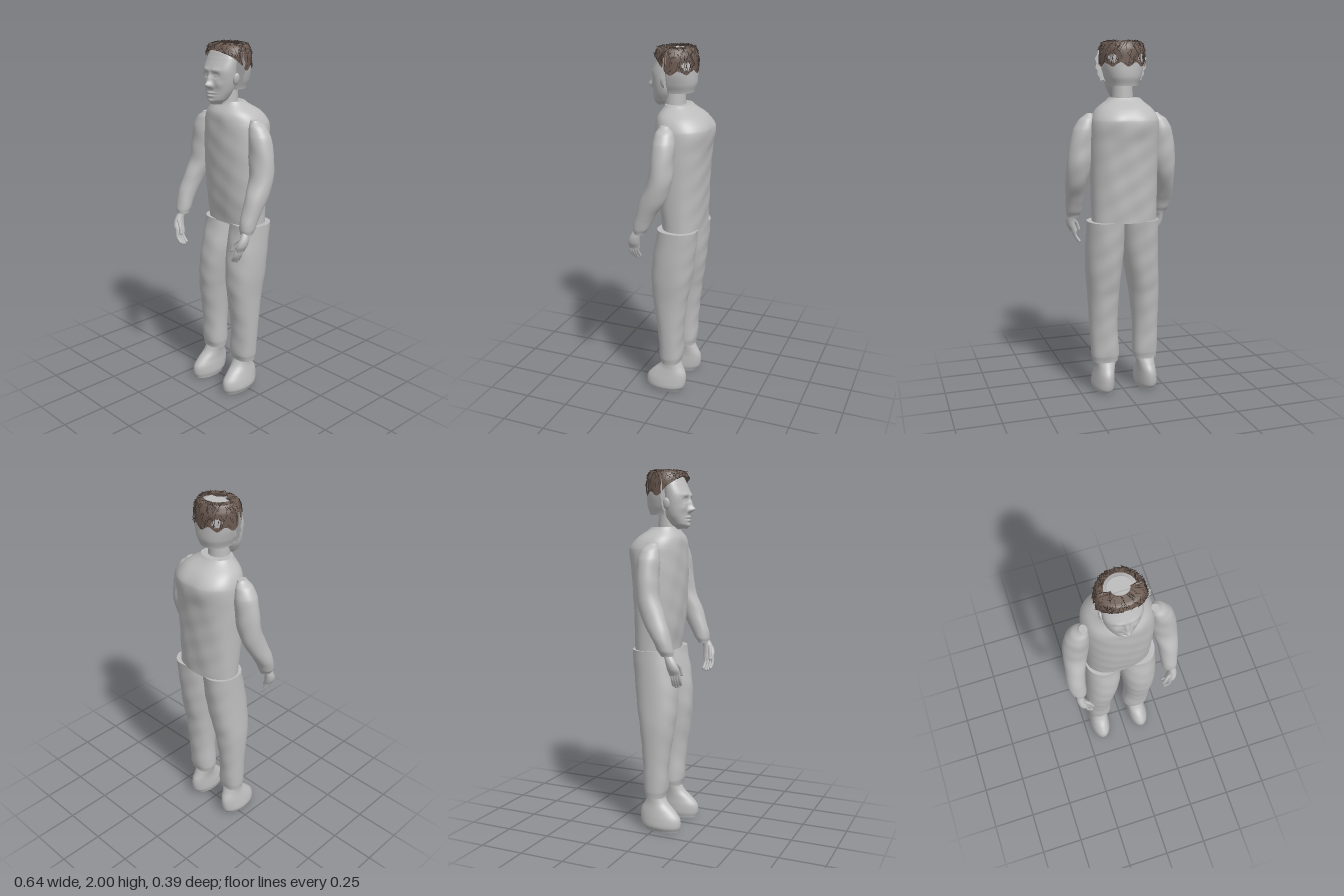
import * as THREE from 'three';
import { mergeGeometries } from 'three/addons/utils/BufferGeometryUtils.js';

const mat = (name, color, side = THREE.FrontSide) => {
  const m = new THREE.MeshStandardMaterial({ color, side });
  m.name = name;
  return m;
};
const TAU = Math.PI * 2;

// Smooth loft through key sections [y, xMin, xMax, zMin, zMax], listed from bottom to top.
function loft(keys, { rings = 32, seg = 40, power = 2, shape = null } = {}) {
  const sample = (t) => {
    const u = t * (keys.length - 1), i = Math.min(Math.floor(u), keys.length - 2), f = u - i;
    const k = (n) => keys[Math.max(0, Math.min(keys.length - 1, n))];
    return keys[0].map((_, c) => {
      const a = k(i)[c], b = k(i + 1)[c];
      if (c === 0) return a + (b - a) * f;
      const m0 = (b - k(i - 1)[c]) / 2, m1 = (k(i + 2)[c] - a) / 2;
      const f2 = f * f, f3 = f2 * f;
      return a * (2 * f3 - 3 * f2 + 1) + m0 * (f3 - 2 * f2 + f) + b * (3 * f2 - 2 * f3) + m1 * (f3 - f2);
    });
  };
  const pos = [], index = [];
  const bend = (v) => Math.sign(v) * Math.abs(v) ** (2 / power);
  for (let i = 0; i <= rings; i++) {
    const [y, x0, x1, z0, z1] = sample(i / rings);
    for (let j = 0; j < seg; j++) {
      const a = (j / seg) * TAU;
      const p = new THREE.Vector3((x0 + x1) / 2 + ((x1 - x0) / 2) * bend(Math.cos(a)), y,
        (z0 + z1) / 2 + ((z1 - z0) / 2) * bend(Math.sin(a)));
      if (shape) shape(p, Math.sin(a));
      pos.push(p.x, p.y, p.z);
    }
  }
  for (let i = 0; i < rings; i++) for (let j = 0; j < seg; j++) {
    const a = i * seg + j, b = i * seg + ((j + 1) % seg);
    index.push(a, a + seg, b, b, a + seg, b + seg);
  }
  // Separate cap vertices keep the rims sharp.
  for (const top of [false, true]) {
    const from = top ? rings * seg : 0, base = pos.length / 3, mid = sample(top ? 1 : 0);
    for (let j = 0; j < seg * 3; j++) pos.push(pos[from * 3 + j]);
    pos.push((mid[1] + mid[2]) / 2, mid[0], (mid[3] + mid[4]) / 2);
    for (let j = 0; j < seg; j++) {
      const a = base + j, b = base + ((j + 1) % seg);
      index.push(base + seg, ...(top ? [b, a] : [a, b]));
    }
  }
  const g = new THREE.BufferGeometry();
  g.setAttribute('position', new THREE.Float32BufferAttribute(pos, 3));
  g.setIndex(index);
  g.computeVertexNormals();
  return g;
}

// Soft dents in the cloth
const cloth = (p, s) => {
  p.z += 0.003 * Math.sin(p.x * 38 + p.y * 17) * Math.sin(p.y * 31 - p.x * 9) * s;
};

// Facial relief: nose, eye sockets, brow, lips and chin
const bump = (x, y, sx, sy) => Math.exp(-((x / sx) ** 2) - (y / sy) ** 2);
const faceRelief = (p, s) => {
  if (s <= 0) return;
  const x = p.x + 0.006, ax = Math.abs(x), y = p.y;
  p.z += s * (0.032 * bump(x, y - 1.785, 0.017, 0.016) + 0.018 * bump(x, y - 1.815, 0.011, 0.024)
    + 0.008 * bump(ax - 0.016, y - 1.778, 0.009, 0.01)
    - 0.014 * bump(ax - 0.036, y - 1.835, 0.02, 0.013) + 0.008 * bump(ax - 0.036, y - 1.834, 0.012, 0.007)
    + 0.006 * bump(ax - 0.035, y - 1.862, 0.03, 0.01)
    + 0.009 * bump(x, y - 1.742, 0.026, 0.006) + 0.009 * bump(x, y - 1.726, 0.022, 0.006)
    - 0.005 * bump(x, y - 1.734, 0.03, 0.003) + 0.008 * bump(x, y - 1.697, 0.022, 0.012)
    + 0.006 * bump(ax - 0.055, y - 1.79, 0.02, 0.02));
};

// Point on the hair surface: angle a (front is 0..PI), s from lower edge to inner rim
function hairPoint(a, s, lift = 0) {
  const sn = Math.sin(a), front = sn > 0;
  const low = front ? 1.865 + 0.095 * sn ** 0.8 : 1.868 + 0.012 * Math.sin(a * 9);
  const inner = front ? 0.36 : 0.62;
  const rim = [[1, low], [0.99, Math.max(low, 1.945)], [0.86, 1.985], [inner, 1.994]];
  const u = Math.min(2.999, s * 3), i = Math.floor(u), f = u - i;
  const r = rim[i][0] + (rim[i + 1][0] - rim[i][0]) * f + lift;
  const y = rim[i][1] + (rim[i + 1][1] - rim[i][1]) * f;
  return new THREE.Vector3(0.126 * r * Math.cos(a), Math.min(1.998, y + lift * 0.06),
    0.02 + (front ? 0.1 : 0.126) * r * sn);
}

function hairPatch(from) {
  const nu = 40, nv = 9, pos = [], index = [];
  for (let i = 0; i <= nu; i++) for (let j = 0; j <= nv; j++) {
    pos.push(...hairPoint(from + (0.001 + 0.998 * i / nu) * Math.PI, j / nv).toArray());
  }
  for (let i = 0; i < nu; i++) for (let j = 0; j < nv; j++) {
    const a = i * (nv + 1) + j, b = a + nv + 1;
    index.push(a, a + 1, b, b, a + 1, b + 1);
  }
  const g = new THREE.BufferGeometry();
  g.setAttribute('position', new THREE.Float32BufferAttribute(pos, 3));
  g.setIndex(index);
  g.computeVertexNormals();
  return g;
}

// Tapered rod between two points
function rod(a, b, r0, r1, sides) {
  const d = b.clone().sub(a);
  const g = new THREE.CylinderGeometry(r1, r0, d.length(), sides);
  g.applyQuaternion(new THREE.Quaternion().setFromUnitVectors(new THREE.Vector3(0, 1, 0), d.clone().normalize()));
  return g.translate((a.x + b.x) / 2, (a.y + b.y) / 2, (a.z + b.z) / 2);
}

export function createModel() {
  const model = new THREE.Group();
  model.name = 'standingMan';
  const grey = mat('plain grey', 0xbcbcbc);
  const greyThin = mat('thin grey', 0xbcbcbc, THREE.DoubleSide);
  const brown = mat('hair brown', 0x6a5950, THREE.DoubleSide);
  const dark = mat('strand brown', 0x3a302b);
  const add = (name, geometry, material = grey, parent = model) => {
    const m = new THREE.Mesh(geometry, material);
    m.name = name;
    parent.add(m);
    return m;
  };

  add('torso', loft([
    [1.015, -0.178, 0.19, -0.158, 0.065], [1.15, -0.18, 0.192, -0.165, 0.085],
    [1.3, -0.182, 0.195, -0.172, 0.098], [1.45, -0.185, 0.198, -0.182, 0.105],
    [1.57, -0.182, 0.19, -0.196, 0.105], [1.63, -0.155, 0.157, -0.155, 0.1],
    [1.69, -0.095, 0.082, -0.072, 0.07]], { rings: 48, seg: 56, power: 2.3, shape: cloth }));

  // Trouser legs
  add('rightLeg', loft([
    [0.19, -0.2, -0.068, -0.06, 0.055], [0.23, -0.205, -0.062, -0.068, 0.065],
    [0.4, -0.207, -0.06, -0.076, 0.072], [0.6, -0.21, -0.04, -0.1, 0.1],
    [0.72, -0.202, -0.016, -0.122, 0.108], [0.85, -0.194, 0.006, -0.138, 0.098],
    [1.02, -0.188, 0.01, -0.155, 0.068]], { rings: 44, power: 2.2, shape: cloth }));
  add('leftLeg', loft([
    [0.19, 0.034, 0.18, -0.06, 0.055], [0.23, 0.026, 0.188, -0.068, 0.065],
    [0.4, 0.036, 0.198, -0.076, 0.072], [0.6, 0.028, 0.206, -0.1, 0.1],
    [0.72, 0.018, 0.217, -0.122, 0.108], [0.85, 0.008, 0.221, -0.138, 0.098],
    [1.02, 0.01, 0.218, -0.155, 0.068]], { rings: 44, power: 2.2, shape: cloth }));

  // Shoes: one shape, mirrored
  for (const [name, side, cx] of [['rightShoe', -1, -0.147], ['leftShoe', 1, 0.11]]) {
    const keys = [[0, 0.05, 0.05, -0.06, 0.14], [0.03, 0.058, 0.064, -0.082, 0.152],
      [0.075, 0.058, 0.06, -0.09, 0.148], [0.115, 0.056, 0.052, -0.086, 0.115],
      [0.155, 0.06, 0.045, -0.065, 0.07], [0.2, 0.07, 0.045, -0.045, 0.045]];
    add(name, loft(keys.map(([y, i, o, a, b]) =>
      [y, ...(side < 0 ? [cx - o, cx + i] : [cx - i, cx + o]), a, b])));
  }

  // Sleeves
  add('rightArm', loft([
    [1.02, -0.298, -0.232, 0.09, 0.155], [1.05, -0.314, -0.226, 0.07, 0.158], [1.12, -0.324, -0.222, 0.035, 0.142],
    [1.22, -0.315, -0.205, -0.025, 0.108], [1.32, -0.309, -0.176, -0.057, 0.066],
    [1.42, -0.302, -0.16, -0.064, 0.056], [1.52, -0.282, -0.155, -0.064, 0.055],
    [1.575, -0.25, -0.158, -0.05, 0.045], [1.607, -0.205, -0.165, -0.022, 0.025]], { rings: 44, shape: cloth }));
  add('leftArm', loft([
    [1.02, 0.222, 0.29, 0.09, 0.155], [1.05, 0.212, 0.298, 0.07, 0.16], [1.12, 0.208, 0.305, 0.035, 0.145],
    [1.22, 0.2, 0.317, -0.025, 0.112], [1.32, 0.178, 0.318, -0.057, 0.07],
    [1.42, 0.163, 0.308, -0.064, 0.06], [1.52, 0.165, 0.284, -0.064, 0.055],
    [1.575, 0.163, 0.25, -0.05, 0.045], [1.607, 0.168, 0.21, -0.022, 0.025]], { rings: 44, shape: cloth }));

  // Hands with curled fingers
  for (const side of [-1, 1]) {
    const hand = new THREE.Group();
    hand.name = side < 0 ? 'rightHand' : 'leftHand';
    hand.position.set(side < 0 ? 0 : -0.005, side < 0 ? 0 : 0.015, 0.002);
    model.add(hand);
    const keys = [[0.915, 0.228, 0.272, 0.128, 0.188], [0.95, 0.24, 0.29, 0.122, 0.19],
      [0.99, 0.25, 0.294, 0.115, 0.172], [1.04, 0.25, 0.282, 0.1, 0.145]];
    add('palm', loft(keys.map(([y, a, b, c, d]) => [y, ...(side < 0 ? [-b, -a] : [a, b]), c, d]),
      { rings: 14, seg: 20 }), grey, hand);
    const finger = (name, points, r) => {
      const path = new THREE.CatmullRomCurve3(points.map(([x, y, z]) => new THREE.Vector3(x * side, y, z)));
      add(name, new THREE.TubeGeometry(path, 8, r, 8), grey, hand);
      const tip = add(name + 'Tip', new THREE.SphereGeometry(r, 8, 6), grey, hand);
      tip.position.copy(path.getPoint(1));
    };
    for (let i = 0; i < 4; i++) {
      const z = 0.138 + i * 0.0145, l = [0.008, 0, 0.003, 0.012][i];
      finger('finger', [[0.252, 0.935, z], [0.242, 0.89, z + 0.004], [0.221, 0.85 + l, z]], 0.0085);
    }
    finger('thumb', [[0.255, 0.985, 0.165], [0.226, 0.955, 0.178], [0.213, 0.918, 0.182]], 0.0095);
  }

  // Neck, face and back of the skull
  add('neck', new THREE.CylinderGeometry(0.054, 0.06, 0.14, 32).translate(-0.004, 1.72, 0.018));
  add('face', loft([
    [1.68, -0.035, 0.022, 0.07, 0.122], [1.705, -0.064, 0.05, 0.035, 0.137],
    [1.75, -0.088, 0.074, 0.01, 0.137], [1.8, -0.1, 0.088, 0, 0.139], [1.86, -0.105, 0.095, 0, 0.139],
    [1.92, -0.1, 0.093, 0, 0.112], [1.955, -0.082, 0.077, 0, 0.095],
    [1.972, -0.045, 0.045, 0.01, 0.07]], { rings: 90, seg: 110, power: 2.1, shape: faceRelief }));
  add('skull', loft([
    [1.755, -0.085, 0.082, -0.086, 0.12], [1.8, -0.102, 0.1, -0.1, 0.14], [1.86, -0.116, 0.116, -0.102, 0.14],
    [1.93, -0.118, 0.118, -0.1, 0.14], [1.965, -0.102, 0.102, -0.082, 0.12],
    [1.983, -0.06, 0.06, -0.045, 0.08]],
  { power: 2.3, shape: (p) => { p.z = Math.min(p.z, 0.028); } }));

  // Jagged side flaps and ears
  for (const side of [-1, 1]) {
    const s = new THREE.Shape();
    const outline = [[0.08, 1.77], [0.1, 1.785], [0.118, 1.782], [0.122, 1.8], [0.135, 1.815], [0.132, 1.835],
      [0.146, 1.85], [0.139, 1.875], [0.148, 1.9], [0.136, 1.92], [0.13, 1.945], [0.08, 1.95]];
    s.setFromPoints(outline.map(([x, y]) => new THREE.Vector2(x * side, y)));
    add('sideFlap', new THREE.ShapeGeometry(s).translate(0, 0, 0.031), greyThin);
    const ear = add('ear', new THREE.SphereGeometry(1, 16, 12));
    ear.scale.set(0.012, 0.032, 0.02);
    ear.position.set(side * 0.098 - 0.004, 1.815, 0.045);
    ear.rotation.z = -side * 0.2;
  }

  // Hair bands and loose crossing strands
  add('frontHair', hairPatch(0), brown);
  add('backHair', hairPatch(Math.PI), brown);
  let seed = 7;
  const rnd = () => (seed = (seed * 16807) % 2147483647) / 2147483647;
  const strands = [];
  for (let i = 0; i < 330; i++) {
    const a = rnd() * TAU, s = rnd();
    const p = hairPoint(a, s, 0.015);
    const q = hairPoint(a + (rnd() - 0.5) * 0.55, THREE.MathUtils.clamp(s + (rnd() - 0.5) * 0.8, 0, 1), 0.01 + rnd() * 0.06);
    if (p.distanceTo(q) > 0.012) strands.push(rod(p, q, 0.0016, 0.001, 4));
  }
  add('hairStrands', mergeGeometries(strands), dark);
  return model;
}
